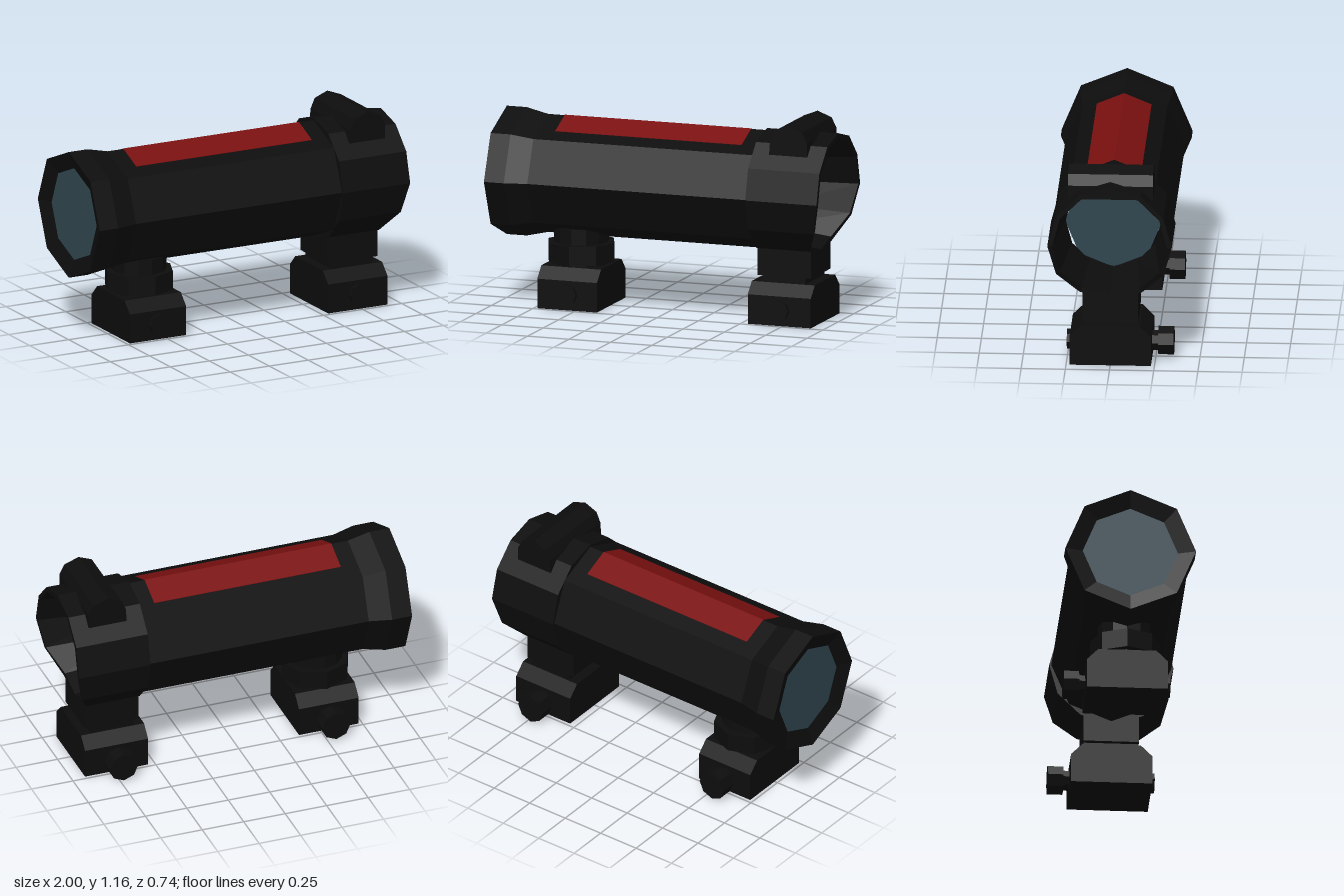
import * as THREE from 'three';

export function createModel() {
  const model = new THREE.Group();
  model.name = 'tubeSight';
  const mat = (name, color) => {
    const m = new THREE.MeshStandardMaterial({ color, flatShading: true });
    m.name = name;
    return m;
  };
  const black = mat('black', 0x0d0d0d);
  const red = mat('darkRed', 0x7a1010);
  const glass = mat('blueGlass', 0x30464f);
  const AXIS = 0.735; // height of the tube axis

  const add = (name, geo, material = black, parent = model) => {
    const mesh = new THREE.Mesh(geo, material);
    mesh.name = name;
    parent.add(mesh);
    return mesh;
  };

  // Turned shape along x; points are [x, radius], running outside in +x direction
  const turned = (points, sides) =>
    new THREE.LatheGeometry(points.map(([x, r]) => new THREE.Vector2(r, x)), sides).rotateZ(-Math.PI / 2);

  const polygon = (pts) => new THREE.Shape(pts.map(([a, b]) => new THREE.Vector2(a, b)));

  // Prism along x from a [z, y] section that is symmetric in z
  const prismX = (pts, x0, x1) =>
    new THREE.ExtrudeGeometry(polygon(pts), { depth: x1 - x0, bevelEnabled: false })
      .rotateY(Math.PI / 2).translate(x0, 0, 0);

  // Eight-sided main tube with flared eyepiece
  add('mainTube', turned([[-0.965, 0.27], [-1, 0.37], [-0.88, 0.37], [-0.75, 0.34], [0.58, 0.34]], 8))
    .position.y = AXIS;

  // Twelve-sided hood, its lower lip swept back
  const hood = turned([[0.57, 0.3], [0.57, 0.352], [1, 0.352], [1, 0.325], [0.55, 0.27]], 12);
  const p = hood.attributes.position;
  for (let i = 0; i < p.count; i++) {
    if (p.getX(i) < 0.99) continue;
    const drop = -p.getY(i) / Math.hypot(p.getY(i), p.getZ(i));
    if (drop > 0.7) p.setX(i, 0.895);
    else if (drop > 0.3) p.setX(i, 0.965);
  }
  add('frontHood', hood).position.y = AXIS;

  // Lenses
  for (const [name, x, dir] of [['rearLens', -0.965, -1], ['frontLens', 0.55, 1]]) {
    const lens = new THREE.CircleGeometry(0.275, 8, Math.PI / 2).rotateY(dir * Math.PI / 2);
    add(name, lens, glass).position.set(x, AXIS, 0);
  }

  // Red strip folded over the top ridge
  add('lightStrip', prismX([
    [-0.155, 1.005], [0.155, 1.005], [0.155, 1.013], [0, 1.078], [-0.155, 1.013],
  ], -0.65, 0.475), red);

  // Rounded housing across the top of the hood
  const housing = polygon([
    [0.672, 0.985], [0.9, 0.985], [0.9, 1.065], [0.87, 1.125], [0.785, 1.157], [0.705, 1.125], [0.678, 1.065],
  ]);
  add('topHousing', new THREE.ExtrudeGeometry(housing, { depth: 0.48, bevelEnabled: false }).translate(0, 0, -0.24));

  // Clamp base with bolt and knob
  function addClamp(name, x0, x1) {
    const clamp = new THREE.Group();
    clamp.name = name;
    model.add(clamp);
    add('clampBase', prismX([
      [-0.23, 0], [0.23, 0], [0.23, 0.17], [0.165, 0.235], [-0.165, 0.235], [-0.23, 0.17],
    ], x0, x1), black, clamp);
    const parts = [['boltHead', 0.06, 0.22, 0.253], ['knobStem', 0.06, -0.27, -0.22], ['knob', 0.085, -0.352, -0.265]];
    for (const [part, r, z0, z1] of parts) {
      const geo = new THREE.CylinderGeometry(r, r, z1 - z0, 8).rotateX(Math.PI / 2);
      add(part, geo, black, clamp).position.set((x0 + x1) / 2, 0.09, (z0 + z1) / 2);
    }
  }
  addClamp('rearClamp', -0.73, -0.37);
  addClamp('frontClamp', 0.54, 0.92);

  // Round rear post with collar
  add('rearPost', new THREE.CylinderGeometry(0.157, 0.157, 0.23, 12)).position.set(-0.55, 0.335, 0);
  add('rearCollar', new THREE.CylinderGeometry(0.2, 0.2, 0.11, 8)).position.set(-0.55, 0.305, 0);

  // Square front post, its top shaped to the hood
  add('frontNeck', new THREE.BoxGeometry(0.26, 0.06, 0.31)).position.set(0.73, 0.255, 0);
  add('frontPost', prismX([
    [-0.157, 0.27], [0.157, 0.27], [0.157, 0.435], [0, 0.395], [-0.157, 0.435],
  ], 0.57, 0.894));

  return model;
}
